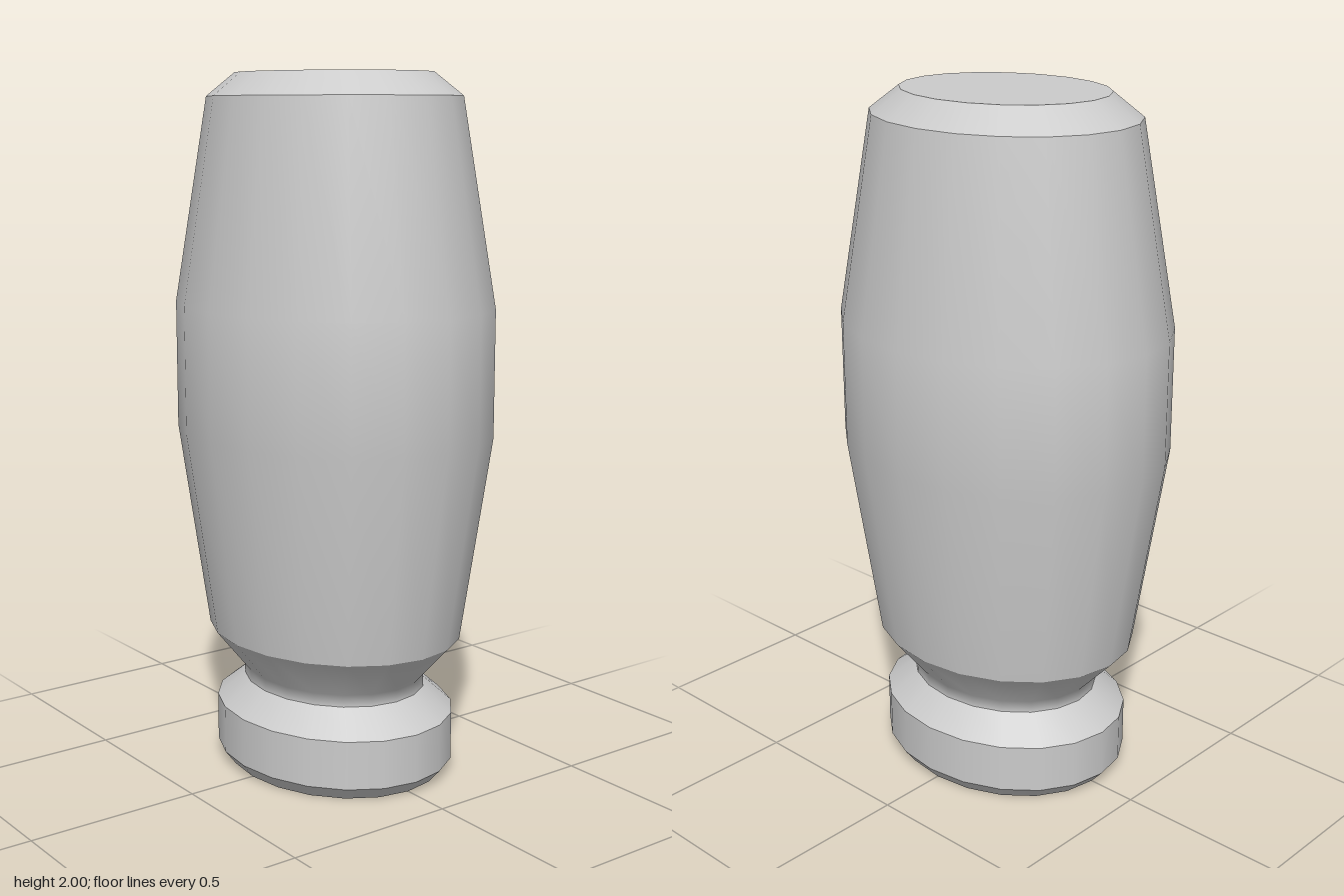
import * as THREE from 'three';

const SIDES = 20;
const WIDTH_RATIO = 0.835; // oval section: narrower across x than z

export function createModel() {
  const model = new THREE.Group();
  model.name = 'ovalGrip';
  const material = new THREE.MeshStandardMaterial({ color: 0xcccccc });

  // Each band is smooth inside; the joints between bands stay sharp. Points are [z radius, y].
  const addBand = (parent, name, profile) => {
    const points = profile.map(([r, y]) => new THREE.Vector2(r, y));
    const geometry = new THREE.LatheGeometry(points, SIDES);
    geometry.scale(WIDTH_RATIO, 1, 1);
    const mesh = new THREE.Mesh(geometry, material);
    mesh.name = name;
    parent.add(mesh);
  };

  // Foot collar
  const foot = new THREE.Group();
  foot.name = 'foot';
  addBand(foot, 'footUnderside', [[0, 0], [0.352, 0]]);
  addBand(foot, 'footBevel', [[0.352, 0], [0.388, 0.04]]);
  addBand(foot, 'footWall', [[0.388, 0.04], [0.388, 0.18]]);
  addBand(foot, 'footShoulder', [[0.388, 0.18], [0.296, 0.25]]);

  // Narrow neck flaring out to the grip
  addBand(model, 'neck', [[0.296, 0.25], [0.296, 0.285], [0.41, 0.407]]);

  // Swelling grip with a bevelled flat top
  const grip = new THREE.Group();
  grip.name = 'grip';
  addBand(grip, 'gripBody', [[0.41, 0.407], [0.506, 1.0], [0.506, 1.36], [0.4, 1.935]]);
  addBand(grip, 'topBevel', [[0.4, 1.935], [0.31, 2]]);
  addBand(grip, 'topFace', [[0.31, 2], [0, 2]]);

  model.add(foot, grip);
  return model;
}
